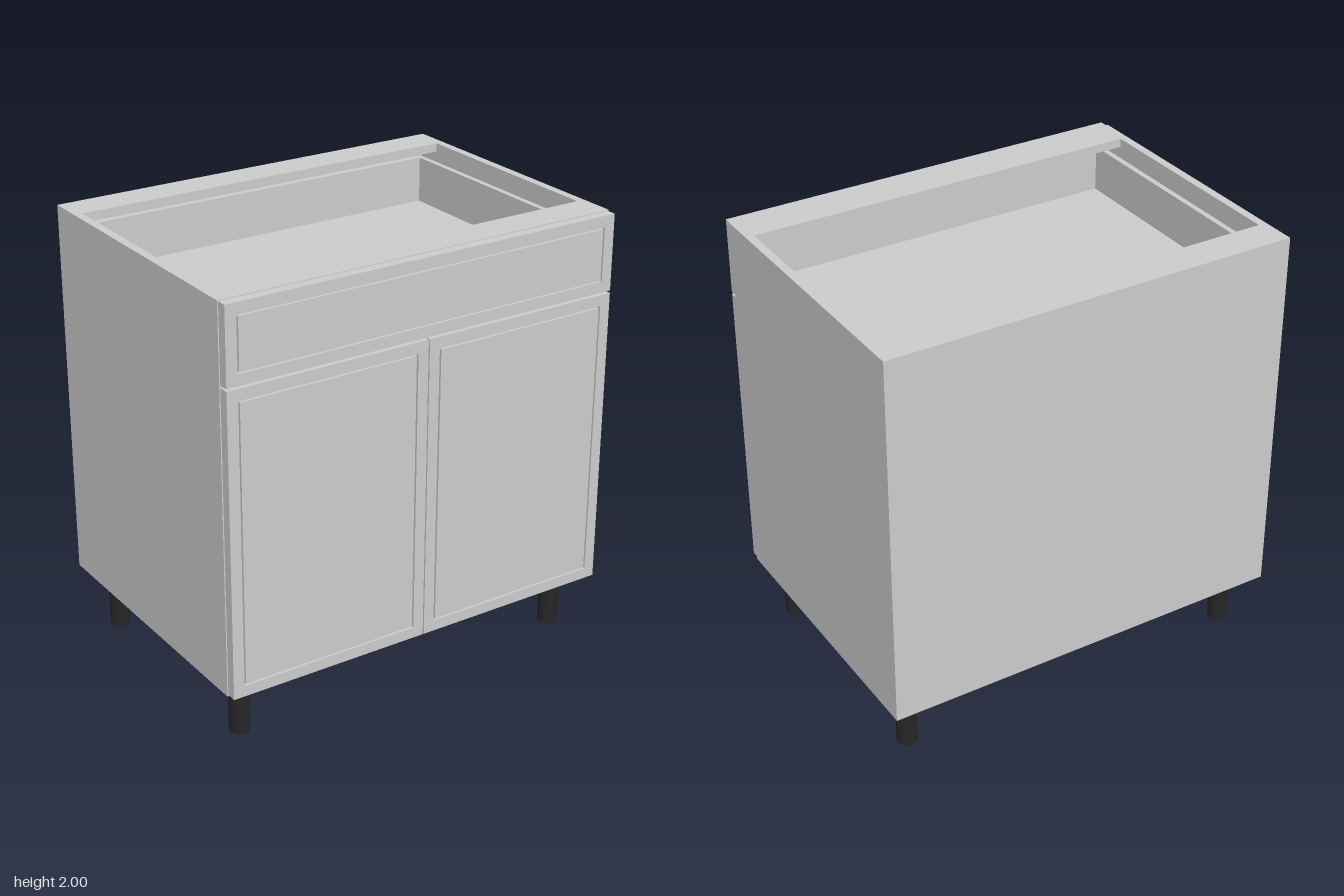
import * as THREE from 'three';

const grey = new THREE.MeshStandardMaterial({ color: 0xcccccc });
const black = new THREE.MeshStandardMaterial({ color: 0x262626 });

// Box given by its minimum and maximum corners
function slab(name, [x0, y0, z0], [x1, y1, z1]) {
  const mesh = new THREE.Mesh(new THREE.BoxGeometry(x1 - x0, y1 - y0, z1 - z0), grey);
  mesh.name = name;
  mesh.position.set((x0 + x1) / 2, (y0 + y1) / 2, (z0 + z1) / 2);
  return mesh;
}

function rectangle(Type, x0, y0, x1, y1) {
  return new Type([[x0, y0], [x1, y0], [x1, y1], [x0, y1]].map(p => new THREE.Vector2(...p)));
}

// Front panel: a frame and a centre field parted by a narrow groove
function frontPanel(name, x0, y0, x1, y1) {
  const group = new THREE.Group();
  group.name = name;
  const border = 0.05, groove = 0.008, back = 0.645, floor = 0.678, face = 0.69;
  const outline = rectangle(THREE.Shape, x0, y0, x1, y1);
  outline.holes.push(rectangle(THREE.Path, x0 + border, y0 + border, x1 - border, y1 - border));
  const frame = new THREE.Mesh(
    new THREE.ExtrudeGeometry(outline, { depth: face - back, bevelEnabled: false }), grey);
  frame.name = 'frame';
  frame.position.z = back;
  const inset = border + groove;
  group.add(
    frame,
    slab('grooveFloor', [x0 + border, y0 + border, back], [x1 - border, y1 - border, floor]),
    slab('field', [x0 + inset, y0 + inset, floor], [x1 - inset, y1 - inset, face]));
  return group;
}

export function createModel() {
  const model = new THREE.Group();
  model.name = 'baseCabinet';
  const W = 0.953, inner = 0.915, bottom = 0.265, top = 2, back = -0.69, front = 0.645;

  // Carcass
  const carcass = new THREE.Group();
  carcass.name = 'carcass';
  carcass.add(
    slab('rightSide', [-W, bottom, back], [-inner, top, front]),
    slab('leftSide', [inner, bottom, back], [W, top, front]),
    slab('bottomPanel', [-inner, bottom, back + 0.04], [inner, bottom + 0.04, front]),
    slab('backPanel', [-inner, bottom, back], [inner, top, back + 0.04]),
    slab('backRail', [-inner, top - 0.04, back + 0.04], [inner, top, -0.53]),
    slab('frontRail', [-inner, top - 0.04, 0.485], [inner, top, front]));
  model.add(carcass);

  // Drawer box with runners
  const drawer = new THREE.Group();
  drawer.name = 'drawer';
  const low = 1.68, high = 1.92, rear = -0.63;
  for (const s of [-1, 1]) {
    const [a, b] = s < 0 ? [-0.898, -0.872] : [0.872, 0.898];
    const [c, d] = s < 0 ? [-inner, -0.898] : [0.898, inner];
    drawer.add(
      slab('drawerSide', [a, low, rear], [b, high, front]),
      slab('runner', [c, low, rear], [d, low + 0.05, front]));
  }
  drawer.add(
    slab('drawerBack', [-0.872, low, rear], [0.872, high, rear + 0.03]),
    slab('drawerInnerFront', [-0.872, low, front - 0.03], [0.872, high, front]),
    slab('drawerFloor', [-0.872, low + 0.01, rear + 0.03], [0.872, low + 0.03, front - 0.03]));
  model.add(drawer);

  // Drawer front and pair of doors
  model.add(
    frontPanel('drawerFront', -0.948, 1.653, 0.948, 1.996),
    frontPanel('rightDoor', -0.948, 0.27, -0.003, 1.642),
    frontPanel('leftDoor', 0.003, 0.27, 0.948, 1.642));

  // Legs
  const legShape = new THREE.CylinderGeometry(0.045, 0.045, bottom, 32);
  for (const x of [-0.83, 0.83]) {
    for (const z of [-0.542, 0.525]) {
      const leg = new THREE.Mesh(legShape, black);
      leg.name = 'leg';
      leg.position.set(x, bottom / 2, z);
      model.add(leg);
    }
  }
  return model;
}
